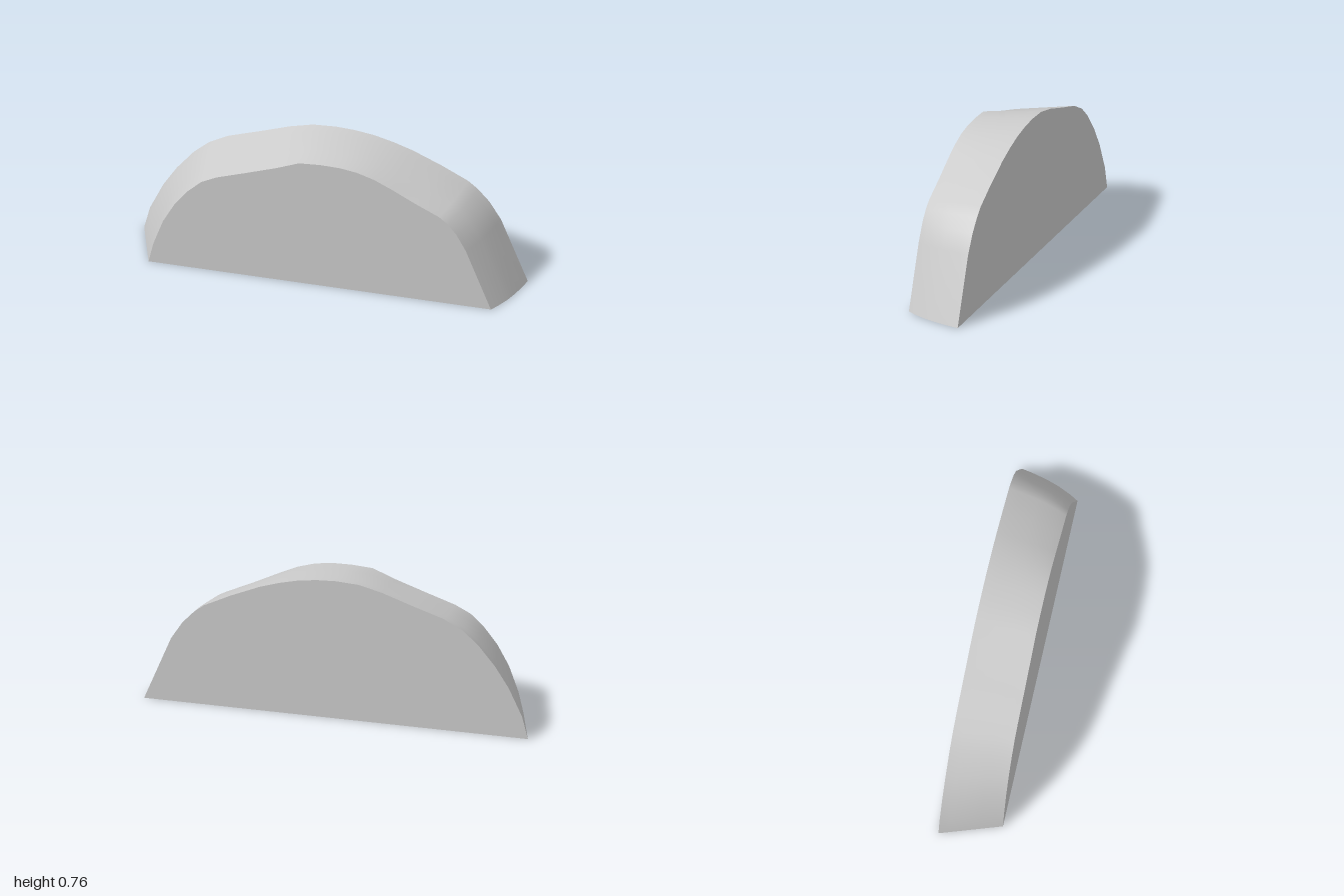
import * as THREE from 'three';

// Matching outlines, from the -x foot over the crown to the +x foot
const BACK = [[-1, 0], [-0.97, 0.12], [-0.9, 0.27], [-0.83, 0.38], [-0.74, 0.49], [-0.66, 0.56], [-0.56, 0.613],
  [-0.4, 0.665], [-0.24, 0.72], [-0.12, 0.75], [0, 0.757], [0.1, 0.752], [0.2, 0.738], [0.3, 0.713], [0.4, 0.68],
  [0.55, 0.615], [0.69, 0.545], [0.74, 0.505], [0.8, 0.44], [0.86, 0.345], [1, 0]];
const FRONT = [[-0.895, 0], [-0.87, 0.11], [-0.82, 0.25], [-0.76, 0.36], [-0.69, 0.45], [-0.62, 0.515], [-0.54, 0.555],
  [-0.39, 0.605], [-0.23, 0.66], [-0.11, 0.708], [0, 0.715], [0.1, 0.713], [0.19, 0.7], [0.28, 0.672], [0.37, 0.63],
  [0.49, 0.567], [0.62, 0.505], [0.665, 0.47], [0.71, 0.415], [0.76, 0.325], [0.89, 0]];
const HALF = 0.155;

// Depth stations: how far along z, and the slower inset on the bulging +x side
const STATIONS = [[0, 0], [0.17, 0.09], [0.34, 0.21], [0.5, 0.34], [0.66, 0.5], [0.87, 0.78], [1, 1]];

function strip(rows, flip) {
  const n = rows[0].length, index = [];
  for (let j = 0; j < rows.length - 1; j++) {
    for (let i = 0; i < n - 1; i++) {
      const a = j * n + i, b = a + 1, c = a + n, d = c + 1;
      if (flip) index.push(a, b, c, b, d, c);
      else index.push(a, c, b, b, c, d);
    }
  }
  const g = new THREE.BufferGeometry();
  g.setAttribute('position', new THREE.Float32BufferAttribute(rows.flat(2), 3));
  g.setIndex(index);
  g.computeVertexNormals();
  return g;
}

function cap(outline) {
  return new THREE.ShapeGeometry(new THREE.Shape(outline.map(([x, y]) => new THREE.Vector2(x, y))));
}

export function createModel() {
  const group = new THREE.Group();
  const material = new THREE.MeshStandardMaterial({ color: 0xcccccc });
  const add = (name, geometry) => {
    const mesh = new THREE.Mesh(geometry, material);
    mesh.name = name;
    group.add(mesh);
  };

  // Sloping rim lofted between the large back and the small front outline
  const rows = STATIONS.map(([t, bulged]) => BACK.map(([x, y], i) => {
    const bulge = THREE.MathUtils.clamp(0.25 + x, 0, 1);
    const s = THREE.MathUtils.lerp(t, bulged, bulge);
    const [fx, fy] = FRONT[i];
    return [x + (fx - x) * s, y + (fy - y) * s, -HALF + 2 * HALF * t];
  }));
  add('rim', strip(rows, false));

  // Flat base closing the rim's two feet
  add('base', strip(rows.map((r) => [r[0], r[r.length - 1]]), true));

  // Flat front and back faces
  add('frontFace', cap(FRONT).translate(0, 0, HALF));
  add('backFace', cap(BACK.map(([x, y]) => [-x, y])).rotateY(Math.PI).translate(0, 0, -HALF));

  return group;
}
